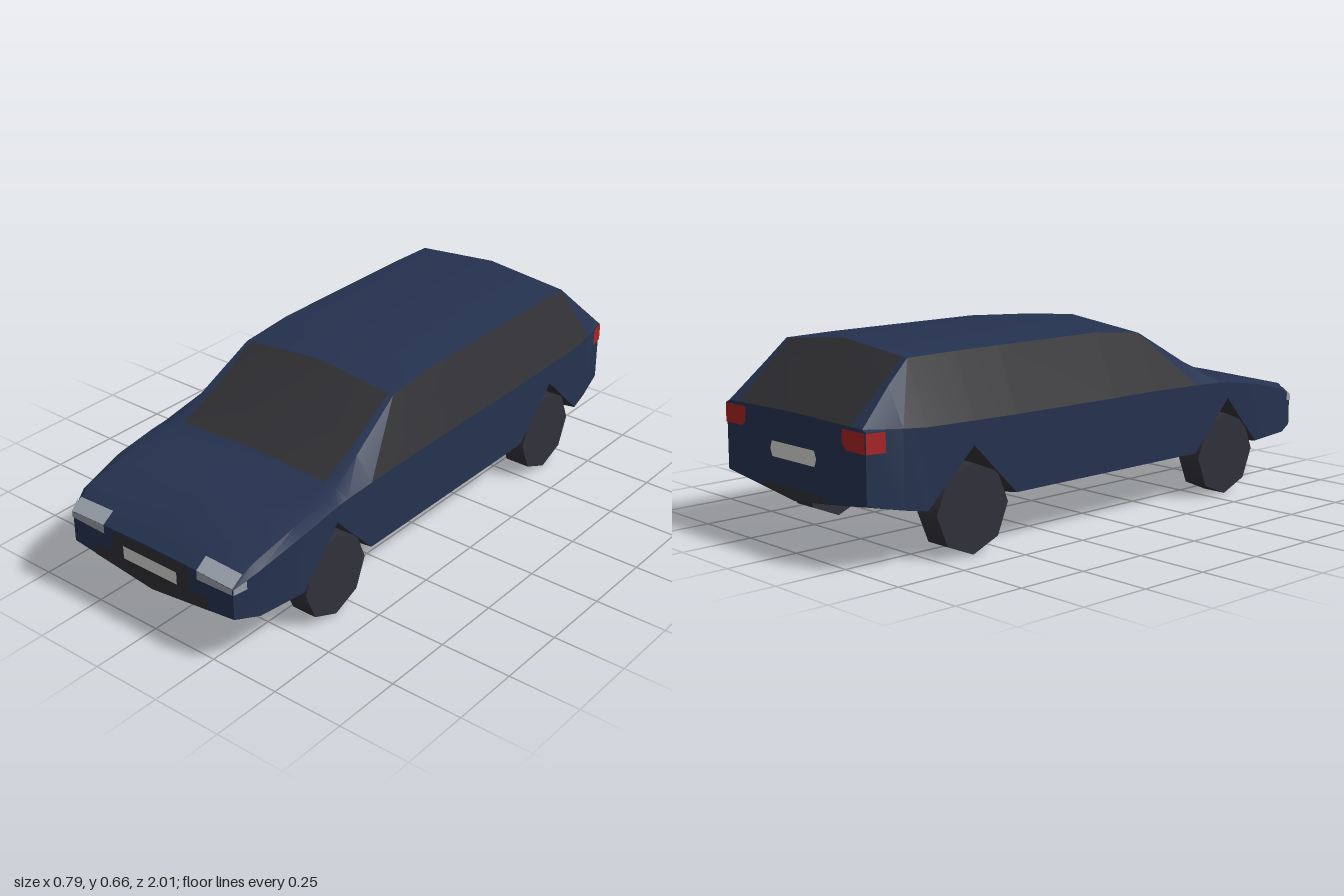
import * as THREE from 'three';
import { toCreasedNormals } from 'three/addons/utils/BufferGeometryUtils.js';

const paint = (name, color, side = THREE.FrontSide) => {
  const m = new THREE.MeshStandardMaterial({ color, side });
  m.name = name;
  return m;
};

// Hull cross-sections, front to back:
// z, keelY, sillY, beltX, beltY, shoulderX, shoulderY, pillarX, topY
const SECTIONS = [
  [1.00, 0.150, 0.190, 0.345, 0.295, 0.335, 0.302, 0.200, 0.306],
  [0.92, 0.118, 0.175, 0.377, 0.335, 0.355, 0.355, 0.250, 0.367],
  [0.74, 0.118, 0.170, 0.396, 0.378, 0.360, 0.392, 0.280, 0.406],
  [0.58, 0.325, 0.345, 0.397, 0.402, 0.355, 0.414, 0.300, 0.426],
  [0.53, 0.264, 0.293, 0.397, 0.406, 0.350, 0.430, 0.305, 0.447],
  [0.41, 0.118, 0.170, 0.397, 0.410, 0.335, 0.485, 0.302, 0.507],
  [0.20, 0.118, 0.170, 0.397, 0.415, 0.315, 0.605, 0.298, 0.640],
  [0.00, 0.118, 0.170, 0.397, 0.415, 0.312, 0.625, 0.290, 0.660],
  [-0.44, 0.118, 0.170, 0.397, 0.418, 0.312, 0.625, 0.290, 0.660],
  [-0.615, 0.325, 0.345, 0.397, 0.421, 0.311, 0.625, 0.290, 0.660],
  [-0.80, 0.118, 0.170, 0.397, 0.425, 0.308, 0.622, 0.285, 0.652],
  [-0.88, 0.134, 0.184, 0.385, 0.430, 0.318, 0.550, 0.290, 0.573],
  [-1.00, 0.165, 0.210, 0.360, 0.430, 0.345, 0.437, 0.290, 0.443],
];

// Half outline of one section, from keel up to the roof centre
function outline([z, keel, sill, bx, by, sx, sy, px, top]) {
  const py = top + (sy - top) * px / sx;
  return [[0, keel, z], [bx, sill, z], [bx, by, z], [sx, sy, z], [px, py, z], [0, top, z]];
}

function buildHull() {
  const parts = { body: [], glass: [], underside: [] };
  const rings = SECTIONS.map(outline);
  const tri = (part, a, b, c) => {
    parts[part].push(...a, ...b, ...c);
    for (const p of [a, c, b]) parts[part].push(-p[0], p[1], p[2]);
  };
  for (let i = 0; i < rings.length - 1; i++) {
    const f = rings[i], r = rings[i + 1];
    const zf = SECTIONS[i][0];
    for (let k = 0; k < 5; k++) {
      let lower = 'body', upper = 'body', flip = false;
      if (k === 0) lower = upper = 'underside';
      // Side windows: slanted at the front and rear ends
      if (k === 2 && zf <= 0.41 && zf >= -0.8) {
        lower = 'glass';
        if (zf === -0.8) flip = true;
        else if (zf < 0.41) upper = 'glass';
      }
      // Windscreen and rear window
      if (k === 4 && ((zf <= 0.53 && zf > 0.2) || zf <= -0.8)) lower = upper = 'glass';
      if (flip) {
        tri(lower, f[k], r[k], f[k + 1]);
        tri(upper, r[k], r[k + 1], f[k + 1]);
      } else {
        tri(lower, f[k], r[k], r[k + 1]);
        tri(upper, f[k], r[k + 1], f[k + 1]);
      }
    }
  }
  // Flat nose and tail
  const nose = rings[0], tail = rings[rings.length - 1];
  for (let k = 1; k < 5; k++) {
    tri('body', nose[0], nose[k], nose[k + 1]);
    tri('body', tail[0], tail[k + 1], tail[k]);
  }
  return parts;
}

const fromTriangles = (positions) => {
  const g = new THREE.BufferGeometry();
  g.setAttribute('position', new THREE.Float32BufferAttribute(positions, 3));
  return g;
};

// Thin convex panel from its corners
function panel(name, corners, material, mirror = 1) {
  const pts = corners.map(([x, y, z]) => [x * mirror, y, z]);
  if (mirror < 0) pts.reverse();
  const pos = [];
  for (let i = 1; i < pts.length - 1; i++) pos.push(...pts[0], ...pts[i], ...pts[i + 1]);
  const g = fromTriangles(pos);
  g.computeVertexNormals();
  const mesh = new THREE.Mesh(g, material);
  mesh.name = name;
  return mesh;
}

export function createModel() {
  const car = new THREE.Group();
  car.name = 'car';
  const blue = paint('navyPaint', 0x25324f);
  const dark = paint('darkTrim', 0x303034, THREE.DoubleSide);
  const rubber = paint('tyreRubber', 0x30303a);
  const lamp = paint('lampGlass', 0x98a0aa, THREE.DoubleSide);
  const red = paint('tailRed', 0xa82424, THREE.DoubleSide);
  const white = paint('plateWhite', 0xd4d4d0, THREE.DoubleSide);

  // Bodyshell, windows and floor
  const hull = buildHull();
  for (const [name, mat] of [['body', blue], ['glass', dark], ['underside', dark]]) {
    const mesh = new THREE.Mesh(toCreasedNormals(fromTriangles(hull[name]), 0.5), mat);
    mesh.name = name;
    car.add(mesh);
  }

  // Eight-sided wheels
  const wheelGeo = new THREE.CylinderGeometry(0.145, 0.145, 0.092, 8).rotateZ(Math.PI / 2);
  for (const z of [0.58, -0.615]) for (const s of [1, -1]) {
    const wheel = new THREE.Mesh(wheelGeo, rubber);
    wheel.name = (z > 0 ? 'front' : 'rear') + (s > 0 ? 'Left' : 'Right') + 'Wheel';
    wheel.position.set(s * 0.343, 0.145, z);
    car.add(wheel);
  }

  // Grille, rear bumper insert and blank plates
  const zf = 1.003, zr = -1.003;
  car.add(panel('grille', [[-0.165, 0.22, zf], [0.165, 0.22, zf], [0.16, 0.302, zf], [-0.16, 0.302, zf]], dark));
  car.add(panel('lowerIntake', [[0, 0.152, zf], [0.25, 0.181, zf], [0.24, 0.222, zf],
    [-0.24, 0.222, zf], [-0.25, 0.181, zf]], dark));
  car.add(panel('frontPlate', [[-0.115, 0.22, 1.006], [0.115, 0.22, 1.006],
    [0.115, 0.265, 1.006], [-0.115, 0.265, 1.006]], white));
  car.add(panel('rearBumperInsert', [[0, 0.167, zr], [-0.18, 0.19, zr], [-0.15, 0.205, zr],
    [0.15, 0.205, zr], [0.18, 0.19, zr]], dark));
  car.add(panel('rearPlate', [[0.11, 0.29, zr], [-0.11, 0.29, zr], [-0.12, 0.315, zr],
    [-0.11, 0.34, zr], [0.11, 0.34, zr], [0.12, 0.315, zr]], white));

  // Lamps wrap round each corner
  for (const s of [1, -1]) {
    car.add(panel('headlightFront', [[0.2, 0.275, 1.004], [0.345, 0.28, 1.004],
      [0.345, 0.3, 1.004], [0.2, 0.308, 1.004]], lamp, s));
    car.add(panel('headlightTop', [[0.2, 0.308, 1.004], [0.345, 0.302, 1.004],
      [0.347, 0.333, 0.96], [0.2, 0.338, 0.96]], lamp, s));
    car.add(panel('headlightSide', [[0.349, 0.28, 1.002], [0.365, 0.288, 0.96],
      [0.365, 0.318, 0.96], [0.349, 0.3, 1.002]], lamp, s));
    car.add(panel('tailLightBack', [[0.36, 0.365, -1.004], [0.27, 0.365, -1.004],
      [0.25, 0.385, -1.004], [0.25, 0.428, -1.004], [0.36, 0.428, -1.004]], red, s));
    car.add(panel('tailLightSide', [[0.377, 0.365, -0.94], [0.364, 0.365, -1.002],
      [0.364, 0.428, -1.002], [0.377, 0.428, -0.94]], red, s));
  }
  return car;
}
